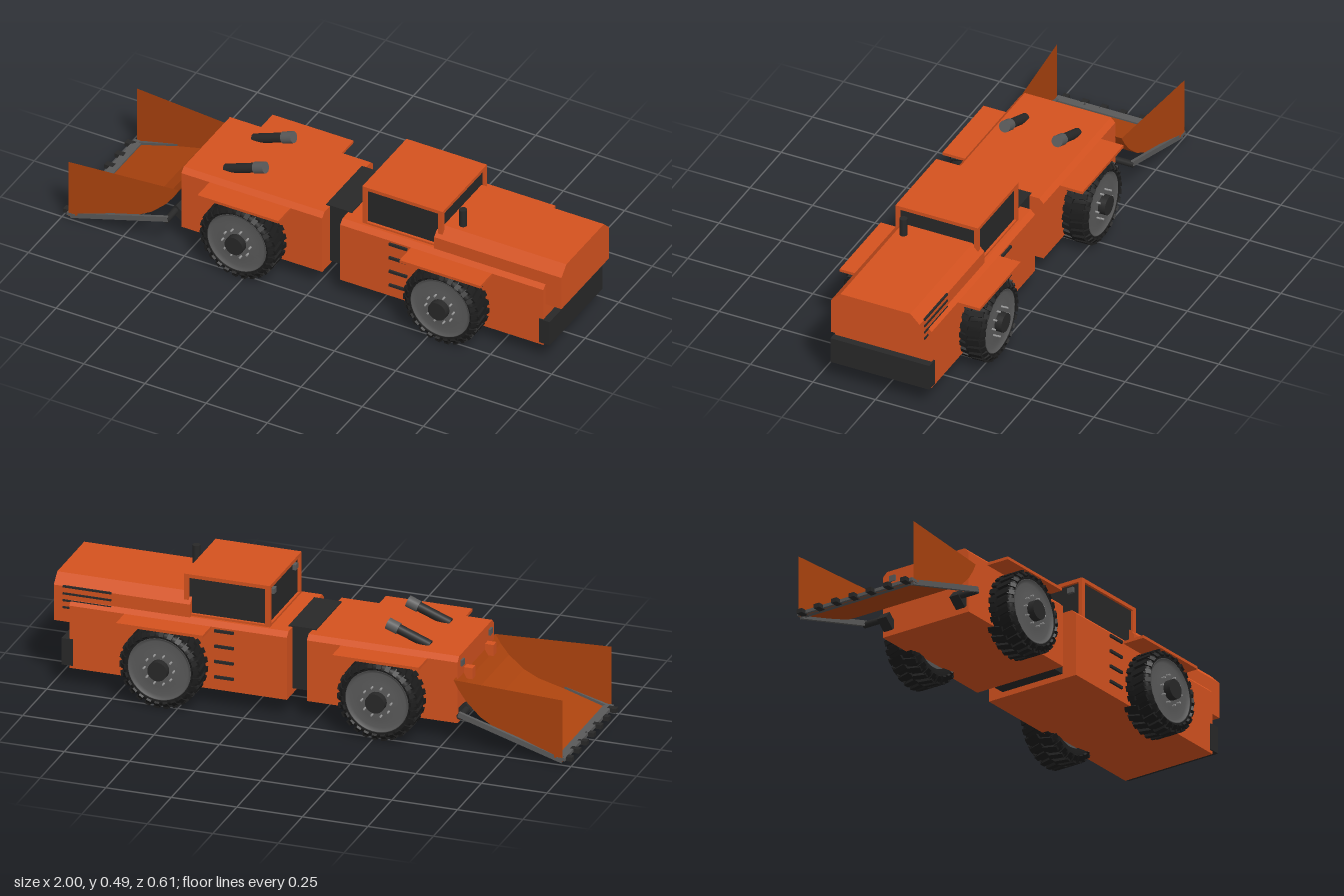
import * as THREE from 'three';

const mat = (name, color, side = THREE.FrontSide) => {
  const m = new THREE.MeshStandardMaterial({ color, side });
  m.name = name;
  return m;
};

export function createModel() {
  const orange = mat('body orange', 0xd4521f);
  const rust = mat('bucket rust', 0xac430e, THREE.DoubleSide);
  const dark = mat('dark trim', 0x282828);
  const rubber = mat('tyre rubber', 0x1c1c1c);
  const steel = mat('steel grey', 0x5a5a5a);
  const bright = mat('light grey', 0x9a9a9a);

  const model = new THREE.Group();
  model.name = 'miningScoop';

  const add = (name, geo, material, parent = model, x = 0, y = 0, z = 0) => {
    const m = new THREE.Mesh(geo, material);
    m.name = name;
    m.position.set(x, y, z);
    parent.add(m);
    return m;
  };
  // Box given by its limits on each axis
  const box = (name, material, x0, x1, y0, y1, z0, z1, parent = model) =>
    add(name, new THREE.BoxGeometry(x1 - x0, y1 - y0, z1 - z0), material, parent,
      (x0 + x1) / 2, (y0 + y1) / 2, (z0 + z1) / 2);
  // Rod between two points
  const rod = (name, material, a, b, radius) => {
    const p = new THREE.Vector3(...a), q = new THREE.Vector3(...b);
    const d = q.clone().sub(p);
    const m = add(name, new THREE.CylinderGeometry(radius, radius, d.length(), 16), material);
    m.position.copy(p).add(q).multiplyScalar(0.5);
    m.quaternion.setFromUnitVectors(new THREE.Vector3(0, 1, 0), d.normalize());
  };
  // Box with chamfered upper edges, running along x
  const hull = (name, x0, x1, y0, y1, w, c) => {
    const s = new THREE.Shape([[-w, y0], [w, y0], [w, y1 - c], [w - c, y1], [c - w, y1], [-w, y1 - c]]
      .map(([a, b]) => new THREE.Vector2(a, b)));
    const g = new THREE.ExtrudeGeometry(s, { depth: x1 - x0, bevelEnabled: false });
    g.rotateY(Math.PI / 2);
    add(name, g, orange, model, x0);
  };

  // Main hulls and the joint between them
  hull('frontFrame', -0.545, 0.03, 0.075, 0.33, 0.19, 0.018);
  hull('rearFrame', 0.105, 0.935, 0.069, 0.33, 0.193, 0.018);
  hull('engineHood', 0.48, 1.0, 0.24, 0.415, 0.177, 0.037);
  box('articulationJoint', dark, 0.015, 0.12, 0.09, 0.334, -0.133, 0.133);
  box('rearBumper', dark, 0.92, 0.963, 0.08, 0.183, -0.198, 0.198);
  rod('exhaust', dark, [0.56, 0.4, 0.107], [0.56, 0.484, 0.107], 0.0145);

  // Cab: dark glass core in an orange frame
  const cab = new THREE.Group();
  cab.name = 'cab';
  model.add(cab);
  box('cabGlass', dark, 0.19, 0.5, 0.33, 0.48, -0.155, 0.155, cab);
  box('cabRoof', orange, 0.18, 0.508, 0.477, 0.491, -0.165, 0.165, cab);
  for (const s of [-1, 1]) {
    for (const x of [0.18, 0.49])
      box('cabPost', orange, x, x + 0.018, 0.325, 0.478, s * 0.157 - 0.008, s * 0.157 + 0.008, cab);
    box('cabSideSill', orange, 0.18, 0.508, 0.325, 0.338, s * 0.157 - 0.008, s * 0.157 + 0.008, cab);
  }
  box('cabFrontSill', orange, 0.18, 0.196, 0.325, 0.338, -0.165, 0.165, cab);

  for (const s of [-1, 1]) {
    // Headlights, bucket brackets and mounts
    box('cabLight', steel, 0.178, 0.192, 0.444, 0.464, s * 0.112 - 0.013, s * 0.112 + 0.013);
    box('frameLight', steel, -0.552, -0.54, 0.285, 0.308, s * 0.145 - 0.013, s * 0.145 + 0.013);
    box('bucketBracket', orange, -0.578, -0.54, 0.225, 0.268, s * 0.11 - 0.015, s * 0.11 + 0.015);
    const mount = box('armMount', dark, -0.59, -0.535, 0.105, 0.14, s * 0.16 - 0.02, s * 0.16 + 0.02);
    mount.rotation.z = -0.7;

    // Lift arm beside the bucket
    const arm = add('liftArm', new THREE.BoxGeometry(0.415, 0.02, 0.012), steel, model, -0.768, 0.077, s * 0.246);
    arm.rotation.z = 0.295;
    rod('armPin', dark, [-0.575, 0.13, s * 0.14], [-0.575, 0.13, s * 0.25], 0.012);

    // Hydraulic cylinders on the front deck
    const z = s * 0.105;
    rod('hydraulicBarrel', dark, [-0.41, 0.325, z], [-0.28, 0.375, z], 0.018);
    rod('hydraulicCap', steel, [-0.29, 0.371, z], [-0.248, 0.387, z], 0.022);

    // Steps on the rear frame
    for (let i = 0; i < 4; i++)
      box('step', dark, 0.307, 0.38, 0.115 + i * 0.06, 0.125 + i * 0.06, s * 0.195 - 0.006, s * 0.195 + 0.006);

    // Fenders
    for (const x of [-0.265, 0.56])
      box('fender', orange, x - 0.165, x + 0.165, 0.301, 0.312, s * 0.23 - 0.05, s * 0.23 + 0.05);
  }

  // Hood vents on one side
  for (let i = 0; i < 4; i++)
    box('hoodVent', dark, 0.78, 0.965, 0.293 + i * 0.027, 0.3 + i * 0.027, -0.181, -0.174);

  // Wheels, built with the axle on local y and the outer face toward +y
  const lathe = (pts) => new THREE.LatheGeometry(pts.map(([r, y]) => new THREE.Vector2(r, y)), 40);
  const tyreGeo = lathe([[0.1, -0.055], [0.125, -0.062], [0.138, -0.056], [0.145, -0.045],
    [0.145, 0.045], [0.138, 0.056], [0.125, 0.062], [0.116, 0.055], [0.114, 0.035]]);
  const rimGeo = lathe([[0, -0.045], [0.11, -0.05], [0.11, -0.03], [0.122, 0.058], [0.117, 0.06],
    [0.106, 0.048], [0.07, 0.056], [0, 0.056]]);
  const lugGeo = new THREE.BoxGeometry(0.02, 0.056, 0.02);
  const shoulderGeo = new THREE.BoxGeometry(0.028, 0.014, 0.018);
  const hubGeo = new THREE.CylinderGeometry(0.037, 0.037, 0.04, 24);
  const boltGeo = new THREE.CylinderGeometry(0.004, 0.004, 0.02, 6);
  const LUGS = 26;
  for (const x of [-0.27, 0.56]) for (const s of [-1, 1]) {
    const wheel = new THREE.Group();
    wheel.name = (x < 0 ? 'front' : 'rear') + (s > 0 ? 'Near' : 'Far') + 'Wheel';
    wheel.position.set(x, 0.155, s * 0.22);
    wheel.rotation.x = s * Math.PI / 2;
    model.add(wheel);
    add('tyre', tyreGeo, rubber, wheel);
    add('rim', rimGeo, steel, wheel);
    add('hub', hubGeo, dark, wheel, 0, 0.063, 0);
    for (let i = 0; i < 10; i++) {
      const a = i / 10 * Math.PI * 2;
      add('bolt', boltGeo, bright, wheel, Math.cos(a) * 0.056, 0.06, Math.sin(a) * 0.056);
    }
    // Staggered, slanted lugs with shoulder blocks
    for (let i = 0; i < LUGS; i++) for (const side of [-1, 1]) {
      const spoke = new THREE.Group();
      spoke.name = 'tread';
      spoke.rotation.y = (i + side * 0.25) / LUGS * Math.PI * 2;
      wheel.add(spoke);
      add('lug', lugGeo, rubber, spoke, 0.145, side * 0.025, 0).rotation.x = side * 0.2;
      add('shoulderLug', shoulderGeo, rubber, spoke, 0.137, side * 0.053, 0).rotation.z = -side * 0.75;
    }
  }

  // Bucket: floor and side plates from one profile, wider toward the lip
  const profile = [[-0.97, 0.016], [-0.7, 0.1], [-0.645, 0.13], [-0.59, 0.18], [-0.56, 0.22], [-0.54, 0.255]];
  const TOP = 0.255;
  const half = (x) => 0.255 - (x + 0.97) / 0.43 * 0.037;
  const floor = [], walls = [];
  const quad = (out, a, b, c, d) => out.push(...a, ...b, ...c, ...a, ...c, ...d);
  for (let i = 0; i < profile.length - 1; i++) {
    const [x0, y0] = profile[i], [x1, y1] = profile[i + 1];
    const w0 = half(x0), w1 = half(x1);
    quad(floor, [x0, y0, w0], [x1, y1, w1], [x1, y1, -w1], [x0, y0, -w0]);
    quad(walls, [x0, y0, w0], [x1, y1, w1], [x1, TOP, w1], [x0, TOP, w0]);
    quad(walls, [x0, y0, -w0], [x0, TOP, -w0], [x1, TOP, -w1], [x1, y1, -w1]);
  }
  for (const [name, pts] of [['bucketFloor', floor], ['bucketSides', walls]]) {
    const g = new THREE.BufferGeometry();
    g.setAttribute('position', new THREE.Float32BufferAttribute(pts, 3));
    g.computeVertexNormals();
    add(name, g, rust);
  }

  // Cutting edge and teeth
  box('cuttingEdge', steel, -0.978, -0.945, 0.018, 0.03, -0.255, 0.255);
  for (let i = -3; i <= 3; i++)
    box('bucketTooth', dark, -1.0, -0.965, 0.014, 0.03, i * 0.0765 - 0.012, i * 0.0765 + 0.012);

  return model;
}
